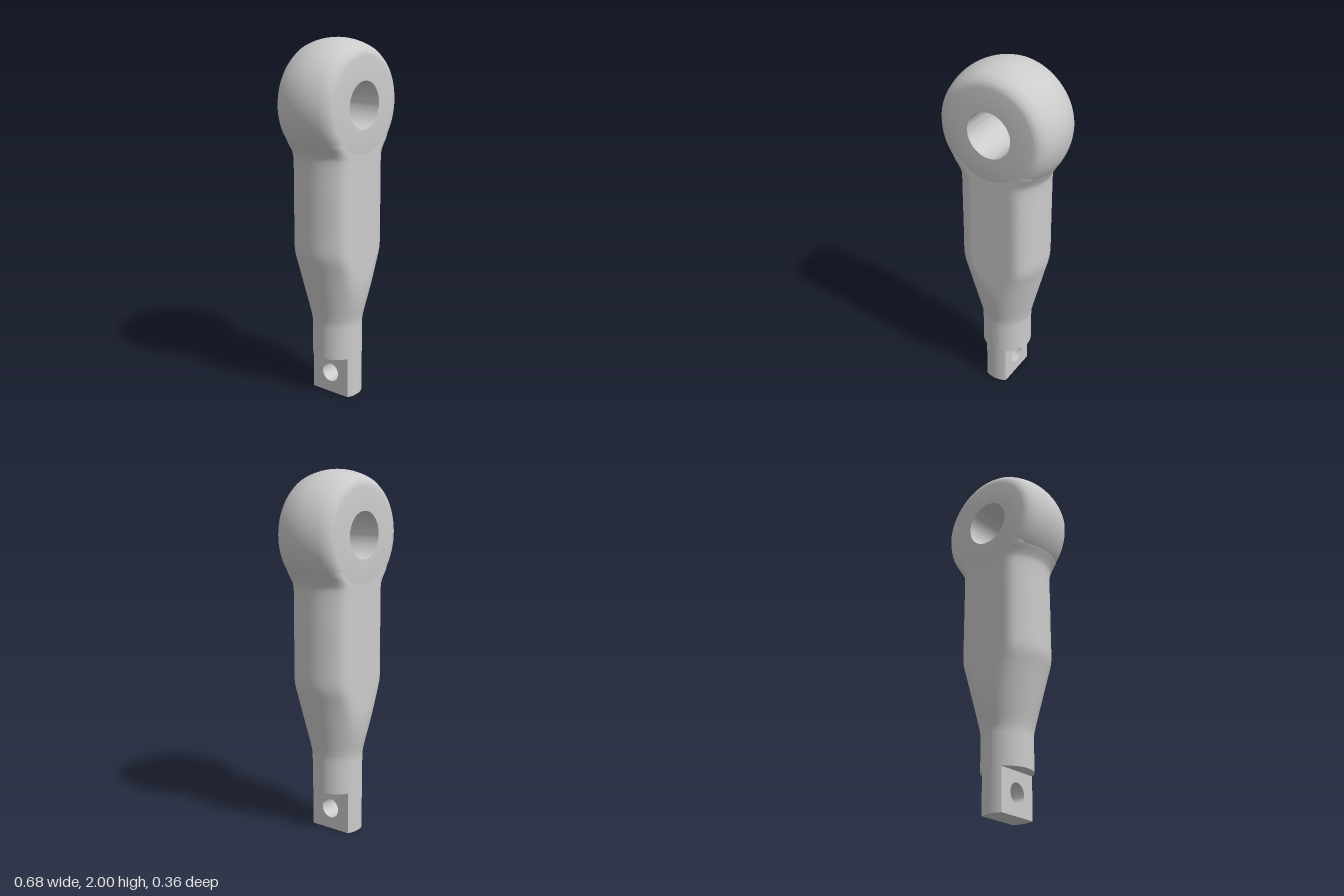
import * as THREE from 'three';
import { toCreasedNormals } from 'three/addons/utils/BufferGeometryUtils.js';

const material = new THREE.MeshStandardMaterial({ color: 0xcccccc });
const V = (x, y) => new THREE.Vector2(x, y);
const FLAT = 0.18; // half thickness between the flat faces

function addPart(group, name, geometry, crease = 0.5) {
  const mesh = new THREE.Mesh(toCreasedNormals(geometry, crease), material);
  mesh.name = name;
  group.add(mesh);
  return mesh;
}

// Moves every vertex of a geometry by a rule.
function deform(geometry, rule) {
  const p = geometry.attributes.position;
  const v = new THREE.Vector3();
  for (let i = 0; i < p.count; i++) {
    rule(v.fromBufferAttribute(p, i));
    p.setXYZ(i, v.x, v.y, v.z);
  }
  return geometry;
}

// Minimum of two values with a rounded transition.
function softMin(a, b, k) {
  const h = Math.max(k - Math.abs(a - b), 0) / k;
  return Math.min(a, b) - h * h * k / 4;
}

// Ball eye: a sphere sliced flat front and back, bored through along z.
function eyeGeometry() {
  const R = 0.341, bore = 0.127, zMax = 0.14;
  const points = [V(bore, -FLAT), V(0.255, -FLAT), V(0.275, -0.176), V(0.293, -0.163)];
  for (let i = 0; i <= 20; i++) {
    const z = -zMax + (2 * zMax * i) / 20;
    points.push(V(Math.sqrt(R * R - z * z), z));
  }
  points.push(V(0.293, 0.163), V(0.275, 0.176), V(0.255, FLAT), V(bore, FLAT), V(bore, -FLAT));
  return new THREE.LatheGeometry(points, 80).rotateX(Math.PI / 2);
}

// Shank: a turned, tapered bar with its front and back flattened.
function shankGeometry() {
  const knots = [
    [0.14, 0.235], [0.14, 0.3], [0.14, 0.4], [0.141, 0.44], [0.148, 0.48], [0.16, 0.53],
    [0.19, 0.65], [0.217, 0.76], [0.235, 0.83], [0.24, 0.87], [0.24, 1.0], [0.24, 1.2],
    [0.24, 1.36], [0.244, 1.395], [0.257, 1.425], [0.274, 1.455], [0.284, 1.48],
  ].map(([r, y]) => new THREE.Vector3(r, y, 0));
  const curve = new THREE.CatmullRomCurve3(knots);
  const profile = curve.getPoints(64).map((p) => V(p.x, p.y));
  const geometry = new THREE.LatheGeometry([V(0, 0.235), ...profile, V(0, 1.48)], 96);
  return deform(geometry, (v) => {
    v.z = Math.sign(v.z) * Math.max(0, softMin(Math.abs(v.z), FLAT - 0.0005, 0.03));
  });
}

// Tang: a flat tongue with ends rounded to the shank radius and a cross hole along x.
function tangGeometry() {
  const R = 0.14, half = 0.065, top = 0.26;
  const shape = new THREE.Shape([V(-R, 0), V(R, 0), V(R, top), V(-R, top)]);
  const hole = new THREE.Path();
  hole.absarc(0, 0.12, 0.055, 0, Math.PI * 2, true);
  shape.holes.push(hole);
  const geometry = new THREE.ExtrudeGeometry(shape, {
    depth: 2 * half, steps: 10, bevelEnabled: false, curveSegments: 40,
  });
  geometry.translate(0, 0, -half).rotateY(Math.PI / 2);
  return deform(geometry, (v) => {
    if (Math.abs(v.z) > 0.13) v.z = Math.sign(v.z) * Math.sqrt(R * R - v.x * v.x);
  });
}

export function createModel() {
  const model = new THREE.Group();
  model.name = 'eyeRod';
  addPart(model, 'eye', eyeGeometry()).position.y = 1.659;
  addPart(model, 'shank', shankGeometry());
  addPart(model, 'tang', tangGeometry());
  return model;
}
